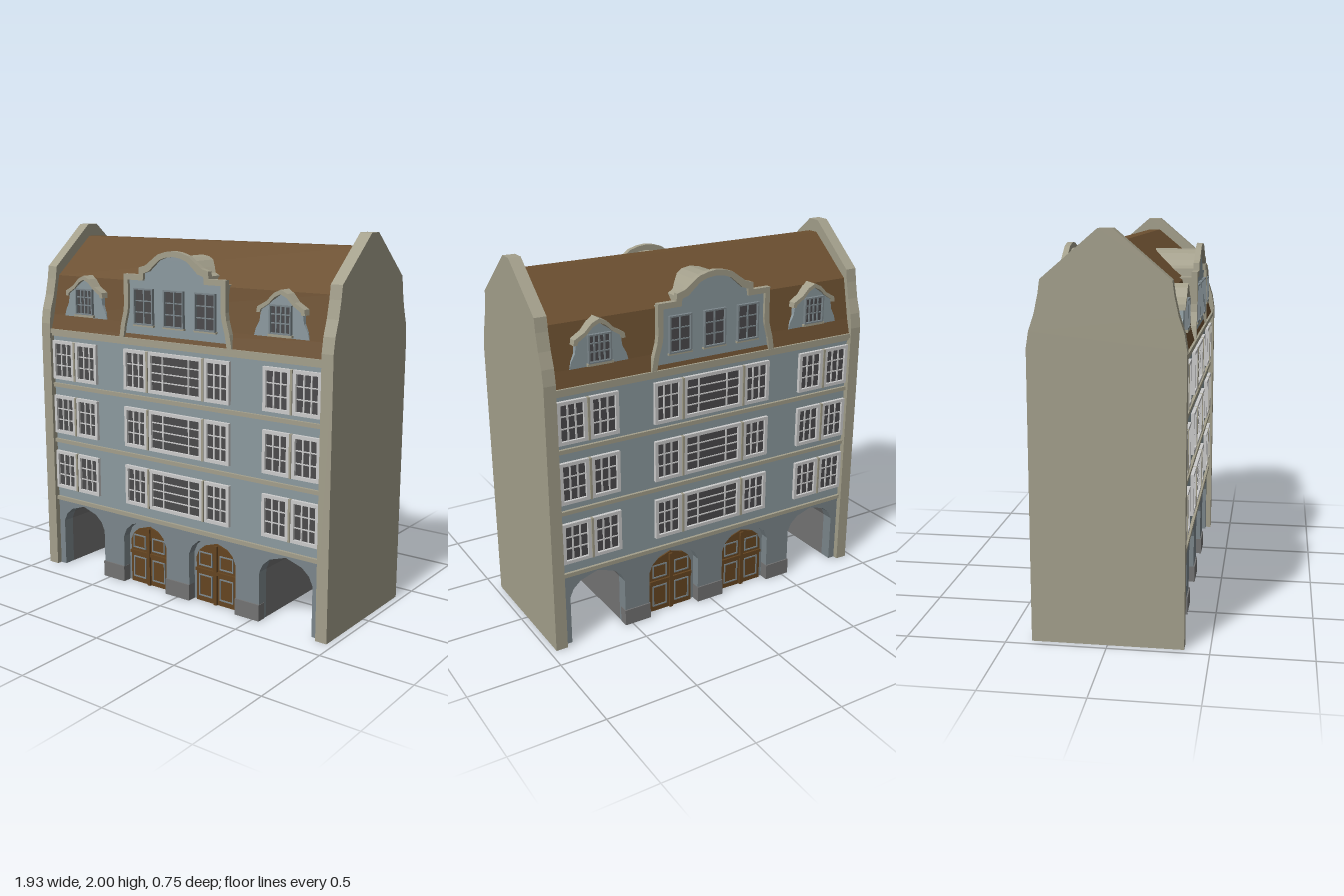
import * as THREE from 'three';

const mat = (color) => new THREE.MeshStandardMaterial({ color });
const stone = mat(0xa39f8b), plaster = mat(0x8c9a9f), base = mat(0x7b868b), plinthGrey = mat(0x737373);
const roofBrown = mat(0x6b4f30), doorBrown = mat(0x654521), glass = mat(0x4b4a4c), white = mat(0xd2d2d2);

const WALL = 0.345; // facade plane

function add(parent, name, geometry, material) {
  const mesh = new THREE.Mesh(geometry, material);
  mesh.name = name;
  parent.add(mesh);
  return mesh;
}

// box given by its min and max on each axis
function box(parent, name, material, x0, x1, y0, y1, z0, z1) {
  const m = add(parent, name, new THREE.BoxGeometry(x1 - x0, y1 - y0, z1 - z0), material);
  m.position.set((x0 + x1) / 2, (y0 + y1) / 2, (z0 + z1) / 2);
  return m;
}

const vecs = (pts) => pts.map(([x, y]) => new THREE.Vector2(x, y));
const mirror = (half) => [...half, ...half.filter((p) => p[0] !== 0).reverse().map(([x, y]) => [-x, y])];
const shift = (pts, dx) => pts.map(([x, y]) => [x + dx, y]);

function slab(parent, name, material, pts, z0, z1, holes = []) {
  const shape = new THREE.Shape(vecs(pts));
  holes.forEach((h) => shape.holes.push(new THREE.Path(vecs(h))));
  const g = new THREE.ExtrudeGeometry(shape, { depth: z1 - z0, bevelEnabled: false });
  g.translate(0, 0, z0);
  return add(parent, name, g, material);
}

const rect = (x0, x1, y0, y1) => [[x0, y0], [x1, y0], [x1, y1], [x0, y1]];

// a band along an open outline, between the outer and inner points
const band = (outer, inner) => [...outer, ...[...inner].reverse()];

// glazed window: casing, pane and glazing bars
function windowUnit(parent, x0, x1, y0, y1, z, cols, rows, rim, frameMat) {
  const w = new THREE.Group();
  w.name = 'window';
  parent.add(w);
  const [a, b, c, d] = [x0 + rim, x1 - rim, y0 + rim, y1 - rim];
  slab(w, 'windowCasing', frameMat, rect(x0, x1, y0, y1), z - 0.005, z + 0.018, [rect(a, b, c, d)]);
  box(w, 'windowGlass', glass, a, b, c, d, z - 0.005, z + 0.004);
  cols.forEach((t) => {
    const x = a + (b - a) * t;
    box(w, 'glazingBar', frameMat, x - 0.004, x + 0.004, c, d, z, z + 0.01);
  });
  rows.forEach((t) => {
    const y = c + (d - c) * t;
    box(w, 'glazingBar', frameMat, a, b, y - 0.003, y + 0.003, z, z + 0.009);
  });
}

// arched opening with a faceted head, as half outline
const archHalf = (r, spring, top) => [
  [r, 0], [r, spring], [r * 0.87, spring + (top - spring) * 0.4],
  [r * 0.6, spring + (top - spring) * 0.73], [0, top]];

// ground floor outline, cut by the two side passages and optionally the door niches
function groundOutline(withDoors) {
  const side = mirror(archHalf(0.16, 0.27, 0.385)).reverse();
  const niche = mirror(archHalf(0.155, 0.27, 0.385)).reverse();
  const pts = [[-0.91, 0], ...shift(side, -0.7)];
  if (withDoors) pts.push(...shift(niche, -0.235), ...shift(niche, 0.235));
  pts.push(...shift(side, 0.7), [0.91, 0], [0.91, 0.41], [-0.91, 0.41]);
  return pts;
}

function door(parent, cx) {
  const g = new THREE.Group();
  g.name = 'door';
  g.position.x = cx;
  parent.add(g);
  slab(g, 'doorBack', base, mirror(archHalf(0.155, 0.27, 0.385)), 0.285, 0.296);
  slab(g, 'doorLeaves', doorBrown, mirror(archHalf(0.133, 0.25, 0.345)), 0.29, 0.306);
  box(g, 'doorStile', doorBrown, -0.01, 0.01, 0, 0.335, 0.3, 0.318);
  box(g, 'doorRail', doorBrown, -0.133, 0.133, 0.172, 0.19, 0.3, 0.316);
  for (const s of [-1, 1]) {
    for (const [y0, y1] of [[0.03, 0.155], [0.205, 0.285]]) {
      const [x0, x1] = s > 0 ? [0.024, 0.114] : [-0.114, -0.024];
      slab(g, 'panelMoulding', base, rect(x0, x1, y0, y1), 0.3, 0.311,
        [rect(x0 + 0.007, x1 - 0.007, y0 + 0.007, y1 - 0.007)]);
    }
  }
}

// curved gable outline, inset by d
const gableHalf = (d) => [
  [0.375 - d, 1.415], [0.362 - d, 1.49], [0.342 - d, 1.56], [0.337 - d, 1.6], [0.337 - d, 1.762 - d],
  [0.232 - d, 1.762 - d], [0.228 - d, 1.8 - d], [0.185 - d * 0.8, 1.812 - d],
  [0.145 - d * 0.5, 1.84 - d], [0.1 - d * 0.3, 1.872 - d], [0.05, 1.887 - d], [0, 1.893 - d]];

function gable(parent) {
  const g = new THREE.Group();
  g.name = 'gable';
  parent.add(g);
  const inner = mirror(gableHalf(0.03));
  slab(g, 'gableRoof', stone, inner, 0.06, 0.345);
  slab(g, 'gableFront', plaster, inner, 0.34, 0.352);
  slab(g, 'gableCoping', stone, band(mirror(gableHalf(0)), inner), 0.338, 0.368);
  for (const x of [-0.205, 0, 0.205]) {
    windowUnit(g, x - 0.066, x + 0.066, 1.495, 1.69, 0.351, [0.5], [0.33, 0.67], 0.008, base);
    box(g, 'gableSill', stone, x - 0.07, x + 0.07, 1.487, 1.497, 0.345, 0.368);
  }
}

function dormer(parent, cx) {
  const g = new THREE.Group();
  g.name = 'dormer';
  g.position.x = cx;
  parent.add(g);
  slab(g, 'dormerWall', plaster,
    mirror([[0.16, 1.5], [0.15, 1.535], [0.128, 1.575], [0.12, 1.63], [0, 1.712]]), 0.25, 0.338);
  slab(g, 'dormerHood', stone, band(
    mirror([[0.14, 1.617], [0.135, 1.645], [0.08, 1.675], [0.04, 1.715], [0, 1.733]]),
    mirror([[0.12, 1.617], [0.115, 1.632], [0.07, 1.66], [0.035, 1.695], [0, 1.711]])), 0.25, 0.35);
  windowUnit(g, -0.063, 0.063, 1.515, 1.66, 0.337, [0.25, 0.5, 0.75], [0.36, 0.7], 0.008, base);
  box(g, 'dormerSill', stone, -0.07, 0.07, 1.503, 1.516, 0.32, 0.355);
}

function facade() {
  const f = new THREE.Group();
  f.name = 'facade';
  // ground floor with arches, doors and plinths
  slab(f, 'arcadeWall', base, groundOutline(true), 0.28, WALL);
  door(f, -0.235);
  door(f, 0.235);
  for (const [a, b] of [[-0.543, -0.388], [-0.082, 0.082], [0.388, 0.543]])
    box(f, 'plinth', plinthGrey, a, b, 0, 0.09, 0.3, WALL + 0.007);
  // string courses and main cornice
  for (const [y0, y1] of [[0.4, 0.422], [0.752, 0.773], [1.083, 1.105], [1.38, 1.395]])
    box(f, 'stringCourse', stone, -0.905, 0.905, y0, y1, 0.33, 0.36);
  box(f, 'cornice', stone, -0.905, 0.905, 1.395, 1.42, 0.33, 0.37);
  // three floors of windows
  for (const [y0, y1] of [[0.478, 0.702], [0.81, 1.034], [1.13, 1.354]]) {
    for (const x of [-0.815, -0.64, -0.275, 0.275, 0.64, 0.815])
      windowUnit(f, x - 0.08, x + 0.08, y0, y1, WALL, [0.33, 0.67], [0.33, 0.67], 0.018, white);
    windowUnit(f, -0.18, 0.18, y0, y1, WALL, [0.23, 0.77], [0.25, 0.5, 0.75], 0.018, white);
    for (const x of [-0.7275, -0.1875, 0.1875, 0.7275])
      box(f, 'windowPilaster', stone, x - 0.006, x + 0.006, y0, y1, 0.34, 0.367);
  }
  gable(f);
  dormer(f, -0.65);
  dormer(f, 0.65);
  return f;
}

export function createModel() {
  const house = new THREE.Group();
  house.name = 'townHouse';

  // core
  slab(house, 'groundFloorCore', plinthGrey, groundOutline(false), -0.28, 0.28);
  box(house, 'upperFloors', plaster, -0.905, 0.905, 0.405, 1.42, -WALL, WALL);

  // mansard roof, profile in z and y swept along x
  const roof = slab(house, 'mansardRoof', roofBrown,
    mirror([[0.36, 1.415], [0.335, 1.5], [0.288, 1.72], [0.03, 1.932]]), -0.905, 0.905);
  roof.rotation.y = Math.PI / 2;

  // party walls
  const wallProfile = mirror([[0.375, 0], [0.375, 1.45], [0.362, 1.53], [0.335, 1.61],
    [0.315, 1.7], [0.305, 1.77], [0.035, 2]]);
  for (const s of [-1, 1]) {
    const wall = slab(house, s > 0 ? 'leftPartyWall' : 'rightPartyWall', stone, wallProfile, -0.0325, 0.0325);
    wall.rotation.y = Math.PI / 2;
    wall.position.x = s * 0.9325;
  }

  // identical front and back
  const front = facade();
  const back = facade();
  front.name = 'frontFacade';
  back.name = 'backFacade';
  back.rotation.y = Math.PI;
  house.add(front, back);
  return house;
}
